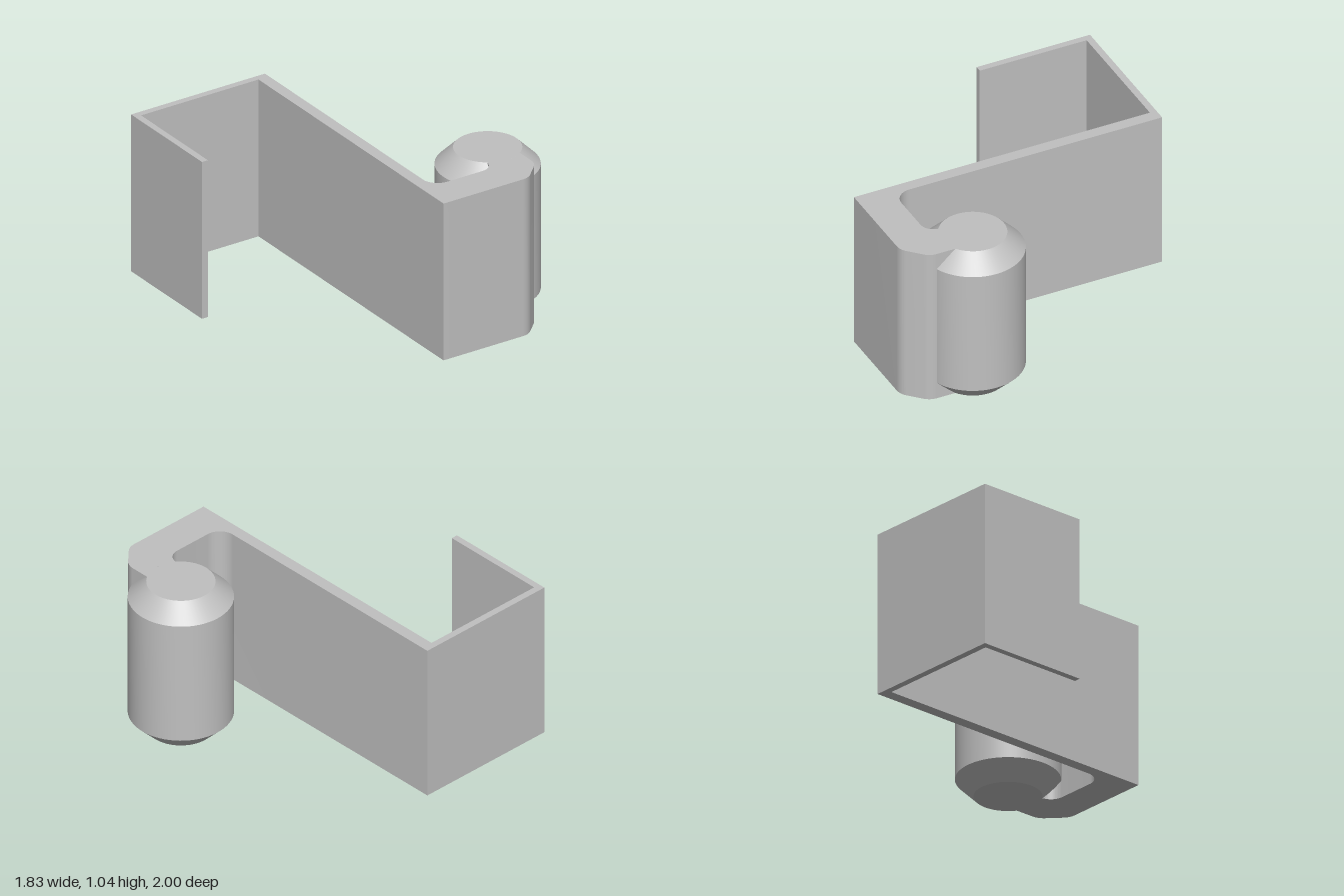
import * as THREE from 'three';
import { toCreasedNormals } from 'three/addons/utils/BufferGeometryUtils.js';

const HEIGHT = 1.04;
const PIN = { x: 0.597, z: 0.53, radius: 0.315, chamfer: 0.11 };

// Plan outline of the folded plate; shape y is -z
function bracketShape() {
  const s = new THREE.Shape();
  const to = (x, z) => s.lineTo(x, -z);
  const capRadius = PIN.radius - PIN.chamfer;
  s.moveTo(-0.915, 0.25);
  to(-0.915, -1);
  to(0.04, -1);
  to(0.04, 0.67);
  // inner fillet between web and foot
  s.absarc(0.145, -0.67, 0.105, Math.PI, Math.PI * 1.5, false);
  to(0.395, 0.775);
  // neck, meeting the flat end of the pin
  s.absarc(0.395, -0.69, 0.085, -Math.PI / 2, -0.12, false);
  s.absarc(PIN.x, -PIN.z, capRadius, Math.atan2(-0.17, -0.117), Math.atan2(-0.17, 0.113), false);
  to(0.71, 0.83);
  s.quadraticCurveTo(0.708, -0.865, 0.683, -0.893);
  to(0.605, 0.969);
  s.quadraticCurveTo(0.575, -1, 0.53, -1);
  // outer faces of foot, web and return flange
  to(-0.035, 1);
  to(-0.035, -0.957);
  to(-0.873, -0.957);
  to(-0.873, -0.25);
  to(-0.915, -0.25);
  return s;
}

export function createModel() {
  const group = new THREE.Group();
  const grey = new THREE.MeshStandardMaterial({ color: 0xc0c0c0 });
  grey.name = 'plain grey';

  // Folded plate with foot and neck
  const plate = new THREE.ExtrudeGeometry(bracketShape(), {
    depth: HEIGHT, bevelEnabled: false, curveSegments: 16,
  });
  plate.rotateX(-Math.PI / 2);
  const bracket = new THREE.Mesh(toCreasedNormals(plate, 0.5), grey);
  bracket.name = 'bracket';

  // Round pin with chamfered ends
  const { radius, chamfer } = PIN;
  const profile = [
    [0, 0], [radius - chamfer, 0], [radius, chamfer],
    [radius, HEIGHT - chamfer], [radius - chamfer, HEIGHT], [0, HEIGHT],
  ].map(([r, y]) => new THREE.Vector2(r, y));
  const pin = new THREE.Mesh(toCreasedNormals(new THREE.LatheGeometry(profile, 64), 0.5), grey);
  pin.name = 'pin';
  pin.position.set(PIN.x, 0, PIN.z);

  group.add(bracket, pin);
  return group;
}
